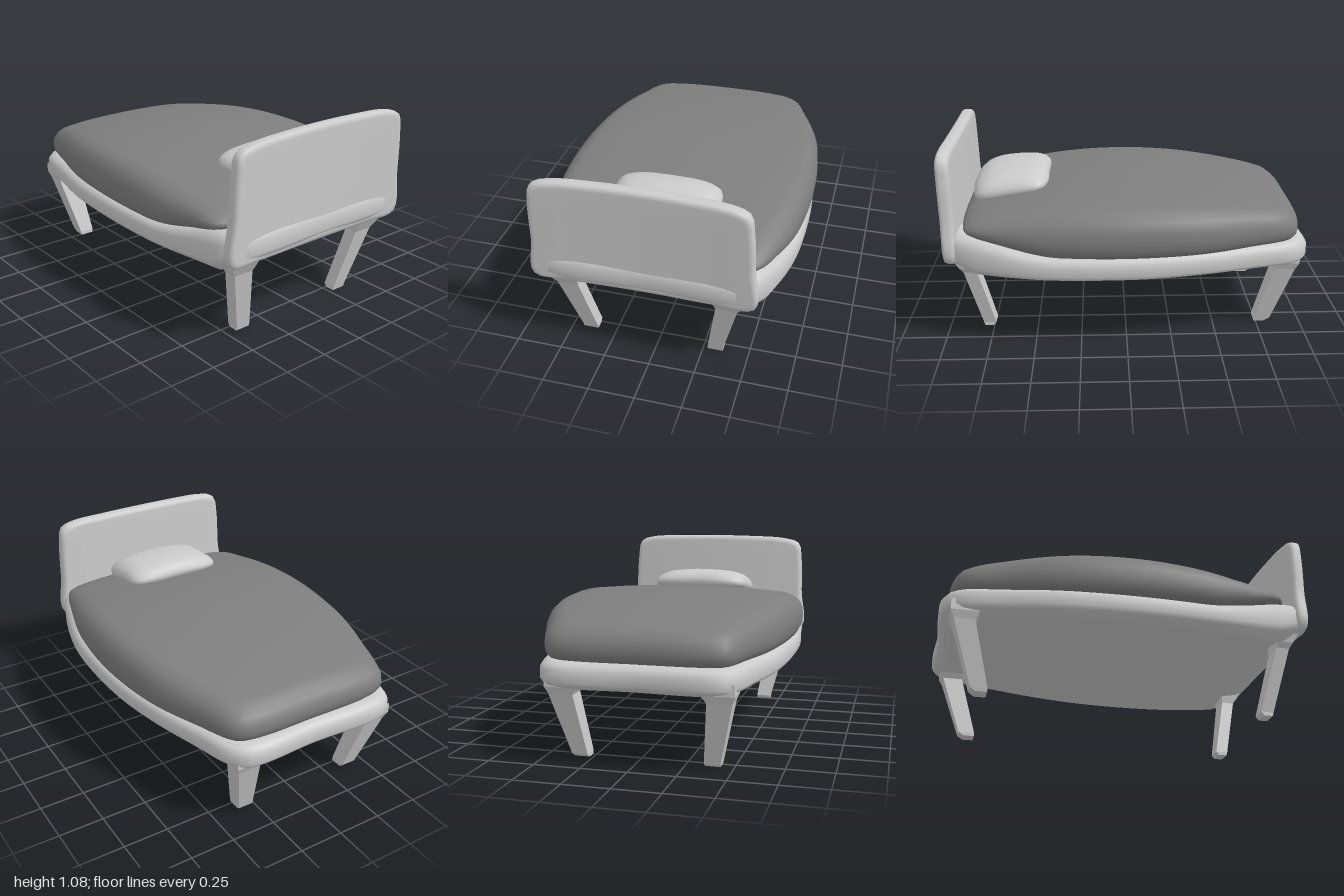
import * as THREE from 'three';

const { smoothstep, lerp } = THREE.MathUtils;
const grey = new THREE.MeshStandardMaterial({ color: 0xcccccc });
const dark = new THREE.MeshStandardMaterial({ color: 0x7e7e7e });

// Smooth closed outline through a few points
function outline(points, count = 96) {
  const curve = new THREE.CatmullRomCurve3(points.map(([a, b]) => new THREE.Vector3(a, b, 0)), true, 'centripetal');
  return curve.getSpacedPoints(count).slice(0, count).map(p => [p.x, p.y]);
}

// Stack of rings: profile rows are [inset, level]; place(a, b, level) gives [x, y, z]
function loft(ring, profile, place) {
  const as = ring.map(p => p[0]), bs = ring.map(p => p[1]);
  const a0 = Math.min(...as), a1 = Math.max(...as), b0 = Math.min(...bs), b1 = Math.max(...bs);
  const ca = (a0 + a1) / 2, cb = (b0 + b1) / 2, ha = (a1 - a0) / 2, hb = (b1 - b0) / 2;
  const first = profile[0], last = profile[profile.length - 1];
  const cap = [0.75, 0.5, 0.25, 0];
  const rows = [
    ...[...cap].reverse().map(s => [...first, s]),
    ...profile.map(r => [...r, 1]),
    ...cap.map(s => [...last, s]),
  ];
  const n = ring.length, pos = [], index = [];
  rows.forEach(([inset, level, s], i) => {
    ring.forEach(([a, b], j) => {
      pos.push(...place(ca + (a - ca) * (1 - inset / ha) * s, cb + (b - cb) * (1 - inset / hb) * s, level));
      if (i === rows.length - 1) return;
      const k = (j + 1) % n, p = i * n, q = p + n;
      index.push(p + j, p + k, q + k, p + j, q + k, q + j);
    });
  });
  const g = new THREE.BufferGeometry();
  g.setAttribute('position', new THREE.Float32BufferAttribute(pos, 3));
  g.setIndex(index);
  g.computeVertexNormals();
  return g;
}

// Tapered square leg; rows are [y, x0, x1, z0, z1]
function legGeometry(rows) {
  const pos = [], index = [];
  rows.forEach(([y, x0, x1, z0, z1], i) => {
    pos.push(x0, y, z0, x0, y, z1, x1, y, z1, x1, y, z0);
    if (i === rows.length - 1) return;
    for (let j = 0; j < 4; j++) {
      const p = i * 4 + j, q = i * 4 + (j + 1) % 4;
      index.push(p, q, q + 4, p, q + 4, p + 4);
    }
  });
  index.push(0, 2, 1, 0, 3, 2);
  const g = new THREE.BufferGeometry();
  g.setAttribute('position', new THREE.Float32BufferAttribute(pos, 3));
  g.setIndex(index);
  const flat = g.toNonIndexed();
  flat.computeVertexNormals();
  return flat;
}

export function createModel() {
  const bed = new THREE.Group();
  bed.name = 'bed';
  const add = (name, geometry, material = grey) => {
    const mesh = new THREE.Mesh(geometry, material);
    mesh.name = name;
    bed.add(mesh);
  };
  // Seam between frame and mattress, rising toward the headboard
  const seam = x => 0.53 + 0.09 * smoothstep(x, 0.35, 0.95);

  // Frame
  const frameRing = outline([
    [-1, -0.4], [-1, 0], [-1, 0.46], [-0.93, 0.535], [-0.7, 0.59], [-0.4, 0.65], [0, 0.68], [0.4, 0.675],
    [0.7, 0.645], [0.92, 0.615], [0.97, 0.57], [0.975, 0], [0.97, -0.5], [0.92, -0.55], [0.75, -0.615],
    [0.5, -0.67], [0.2, -0.69], [-0.1, -0.68], [-0.4, -0.63], [-0.7, -0.55], [-0.93, -0.48],
  ], 128);
  add('frame', loft(frameRing,
    [[0.08, 0], [0.07, 0], [0.015, 0.17], [0, 0.32], [0, 0.72], [0.02, 0.92], [0.05, 1], [0.07, 1]],
    (x, z, t) => [x, lerp(0.39 + 0.06 * smoothstep(x, 0.8, 0.98), seam(x), t), z]));

  // Mattress, domed along its length
  const mattressRing = outline([
    [-0.96, -0.32], [-0.965, 0], [-0.96, 0.38], [-0.925, 0.49], [-0.7, 0.57], [-0.4, 0.65], [0, 0.692],
    [0.4, 0.688], [0.65, 0.65], [0.83, 0.61], [0.875, 0.52], [0.89, 0], [0.88, -0.45], [0.85, -0.54],
    [0.65, -0.62], [0.38, -0.68], [0, -0.7], [-0.4, -0.65], [-0.7, -0.545], [-0.925, -0.44],
  ], 128);
  const mattressTop = (x, z) => 0.812 - 0.13 * (x + 0.03) ** 2 - 0.035 * (z / 0.65) ** 2;
  add('mattress', loft(mattressRing,
    [[0.08, 0], [0.05, 0], [0.02, 0.08], [0.005, 0.22], [0, 0.4], [0.004, 0.62], [0.025, 0.82], [0.06, 0.94], [0.11, 1]],
    (x, z, t) => [x, lerp(seam(x) - 0.005, mattressTop(x, z), t), z]), dark);

  // Pillow, sloping down toward the headboard
  const pillowRing = outline([
    [0.435, -0.2], [0.43, 0], [0.435, 0.22], [0.47, 0.29], [0.62, 0.3], [0.8, 0.3], [0.835, 0.25],
    [0.86, 0], [0.835, -0.23], [0.8, -0.27], [0.62, -0.28], [0.47, -0.265],
  ], 72);
  add('pillow', loft(pillowRing,
    [[0.05, 0], [0.02, 0.04], [0.004, 0.17], [0, 0.35], [0.003, 0.55], [0.02, 0.78], [0.05, 0.93], [0.09, 1]],
    (x, z, t) => [x, lerp(0.775 - 0.17 * (x - 0.43),
      0.875 - 0.6 * Math.max(0, x - 0.56) ** 2 - 0.03 * ((z - 0.01) / 0.29) ** 2, t), z]));

  // Headboard, gently curved and leaning back; its outline lies in z, y
  const headRing = outline([
    [-0.55, 0.47], [-0.545, 0.7], [-0.535, 0.92], [-0.515, 1.03], [-0.45, 1.06], [-0.2, 1.075], [0.25, 1.075],
    [0.5, 1.06], [0.585, 1.03], [0.605, 0.93], [0.612, 0.7], [0.62, 0.47], [0.45, 0.452], [0, 0.45], [-0.35, 0.452],
  ]);
  add('headboard', loft(headRing,
    [[0.03, 0], [0.015, 0.04], [0.004, 0.18], [0, 0.35], [0, 0.7], [0.004, 0.87], [0.015, 0.97], [0.03, 1]],
    (z, y, t) => {
      const bow = 0.018 * ((z - 0.035) / 0.58) ** 2;
      return [lerp(0.89, 0.965, t) + 0.035 * (y - 0.5) + bow, y, z];
    }));

  // Legs, mirrored across the bed's slightly offset middle line
  const middle = 0.04;
  const legs = {
    footLeg: [[0, -0.8, -0.74, 0.31, 0.39], [0.02, -0.83, -0.74, 0.31, 0.395],
      [0.36, -0.94, -0.83, 0.345, 0.475], [0.4, -0.96, -0.81, 0.32, 0.49], [0.46, -0.96, -0.81, 0.32, 0.49]],
    headLeg: [[0, 0.755, 0.805, 0.315, 0.4], [0.02, 0.74, 0.81, 0.315, 0.4],
      [0.37, 0.82, 0.893, 0.375, 0.49], [0.4, 0.82, 0.91, 0.37, 0.51], [0.47, 0.82, 0.95, 0.36, 0.53]],
  };
  for (const [name, rows] of Object.entries(legs)) {
    for (const side of [1, -1]) {
      const placed = rows.map(([y, x0, x1, a, b]) =>
        [y, x0, x1, ...(side > 0 ? [middle + a, middle + b] : [middle - b, middle - a])]);
      add(name + (side > 0 ? 'Front' : 'Back'), legGeometry(placed));
    }
  }
  return bed;
}
